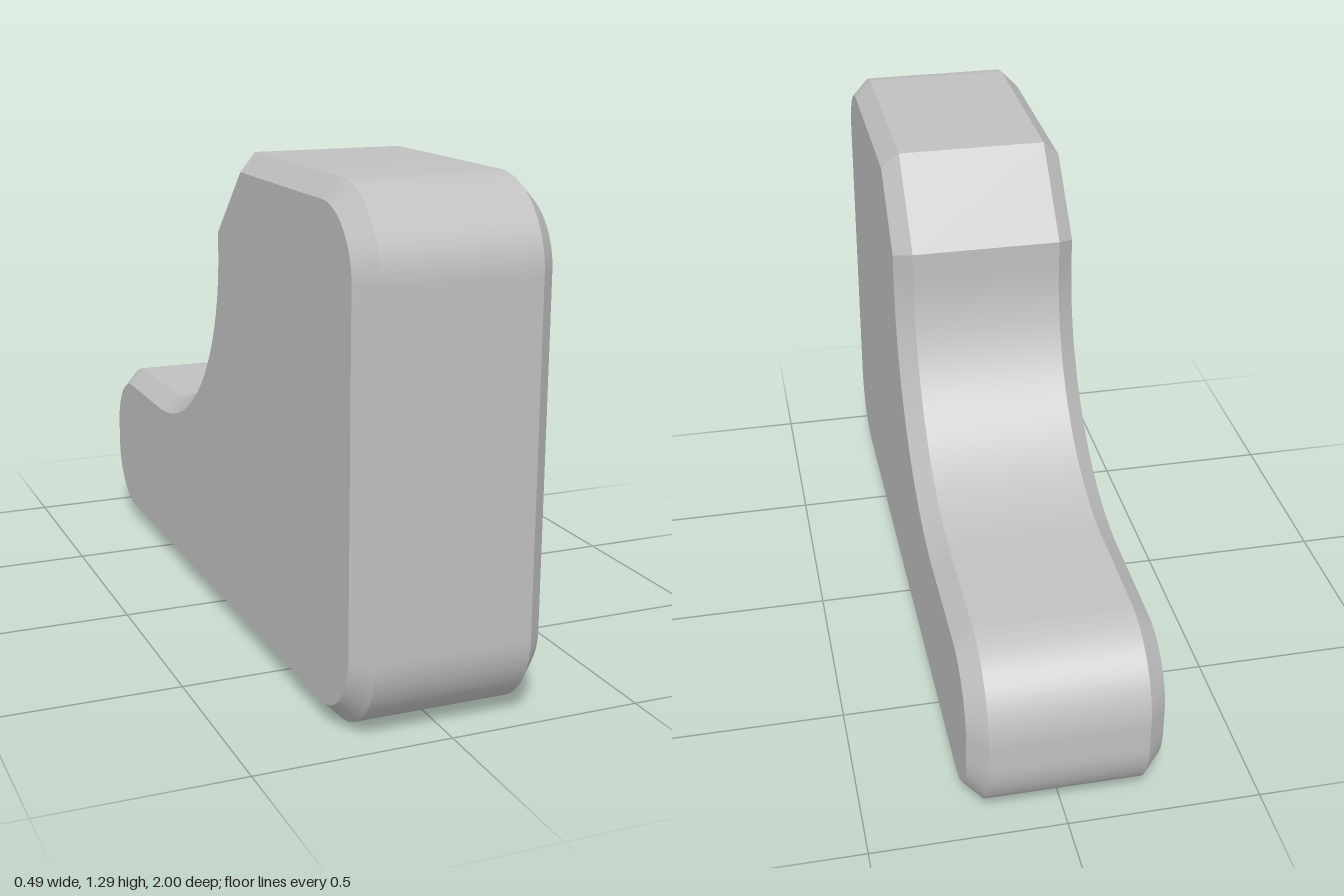
import * as THREE from 'three';
import { toCreasedNormals } from 'three/addons/utils/BufferGeometryUtils.js';

const HALF_WIDTH = 0.247, BEVEL = 0.047;
const TOP = 1.295, FOOT_TOP = 0.495;
const R = 0.215;   // rounded outer corners
const COVE = 0.52; // concave sweep between body and foot

// Side outline, drawn as (z, y), counter-clockwise
function sideProfile() {
  const q = Math.PI / 2;
  const neckZ = 0.03;
  const s = new THREE.Shape();
  s.moveTo(-1 + R, 0);
  s.lineTo(1 - R, 0);
  s.absarc(1 - R, R, R, -q, 0, false);                 // front bottom corner
  s.absarc(1 - R, TOP - R, R, 0, q, false);            // front top corner
  s.lineTo(0.235, TOP);
  s.lineTo(neckZ, 1.09);                               // slanted top edge
  s.absarc(neckZ - COVE, FOOT_TOP + COVE, COVE, 0, -q, true); // concave sweep
  s.absarc(-1 + R, FOOT_TOP - R, R, q, 2 * q, false);  // foot top corner
  s.absarc(-1 + R, R, R, 2 * q, 3 * q, false);         // foot bottom corner
  return s;
}

export function createModel() {
  const group = new THREE.Group();
  group.name = 'chamferedBlock';
  const grey = new THREE.MeshStandardMaterial({ color: 0xc0c0c0 });
  grey.name = 'light grey';

  // Extruded body with a 45 degree chamfer around both side faces
  const depth = 2 * (HALF_WIDTH - BEVEL);
  const geometry = new THREE.ExtrudeGeometry(sideProfile(), {
    depth,
    curveSegments: 24,
    bevelEnabled: true,
    bevelThickness: BEVEL,
    bevelSize: BEVEL,
    bevelOffset: -BEVEL,
    bevelSegments: 1,
  });
  geometry.translate(0, 0, -depth / 2);
  geometry.rotateY(-Math.PI / 2);

  const body = new THREE.Mesh(toCreasedNormals(geometry, 0.5), grey);
  body.name = 'body';
  group.add(body);
  return group;
}
